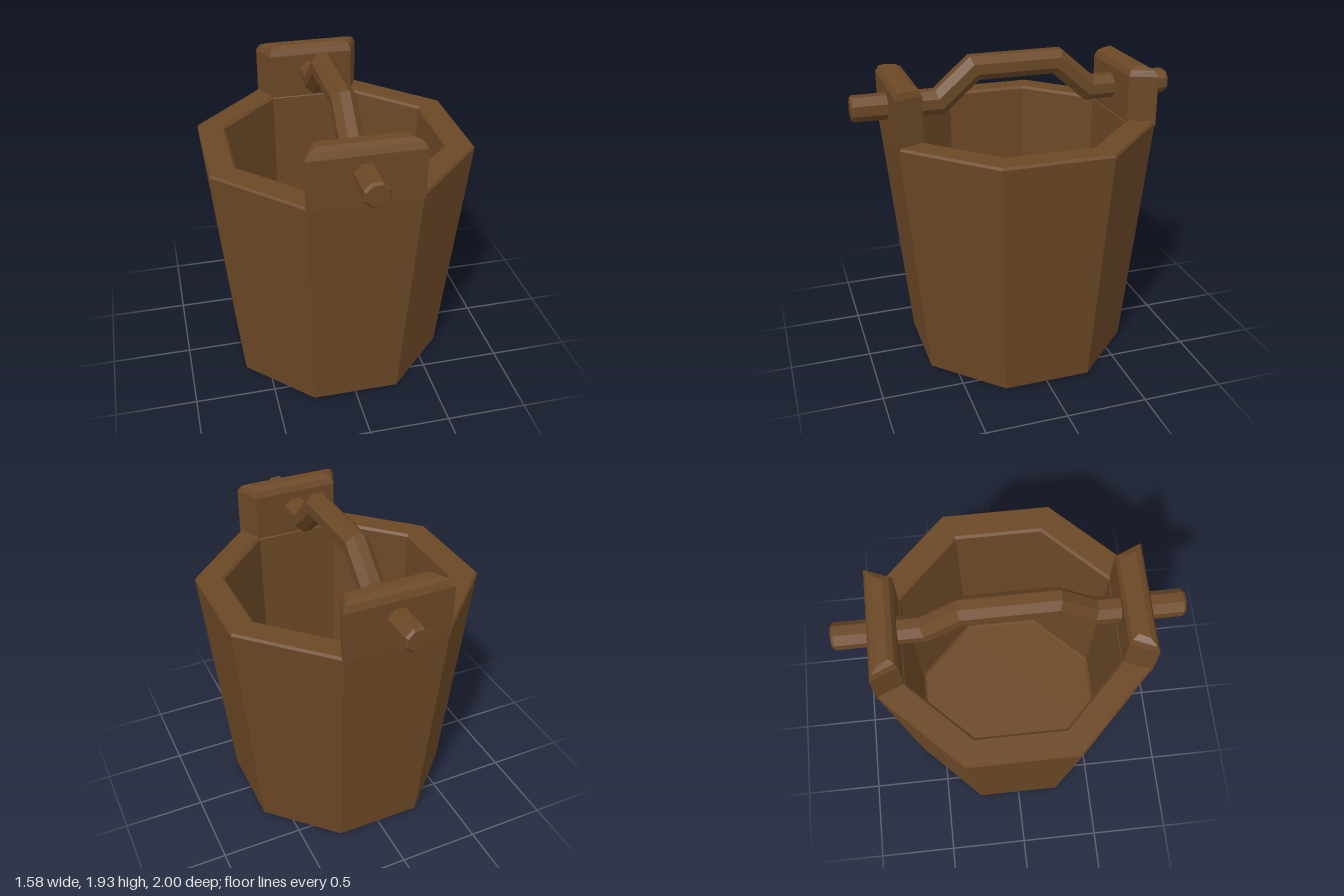
import * as THREE from 'three';

const wood = new THREE.MeshStandardMaterial({ color: 0x6b4826, flatShading: true });

// Skins a list of rings (counter-clockwise seen along the travel direction) and caps both ends.
function loft(name, rings) {
  const pos = [];
  const tri = (a, b, c) => pos.push(...a, ...b, ...c);
  const n = rings[0].length;
  for (let r = 0; r < rings.length - 1; r++) {
    const a = rings[r], b = rings[r + 1];
    for (let i = 0; i < n; i++) {
      const j = (i + 1) % n;
      tri(a[i], a[j], b[j]);
      tri(a[i], b[j], b[i]);
    }
  }
  const first = rings[0], last = rings[rings.length - 1];
  for (let i = 1; i < n - 1; i++) {
    tri(first[0], first[i + 1], first[i]);
    tri(last[0], last[i], last[i + 1]);
  }
  const geo = new THREE.BufferGeometry();
  geo.setAttribute('position', new THREE.Float32BufferAttribute(pos, 3));
  geo.computeVertexNormals();
  const mesh = new THREE.Mesh(geo, wood);
  mesh.name = name;
  return mesh;
}

// Corners of a regular octagon with the given distance to its flats.
function octagon(apothem) {
  const r = apothem / Math.cos(Math.PI / 8);
  return Array.from({ length: 8 }, (_, i) => {
    const a = (i + 0.5) * Math.PI / 4;
    return [r * Math.cos(a), r * Math.sin(a)];
  });
}

// Octagonal tub: outside upward, over the rim, inside down to the floor.
function makeBucket() {
  const profile = [
    [0.635, 0], [0.648, 0.012], [0.79, 1.505], [0.78, 1.52],
    [0.64, 1.52], [0.625, 1.505], [0.605, 0.17], [0.59, 0.15],
  ];
  return loft('bucket', profile.map(([a, y]) => octagon(a).map(([x, z]) => [x, y, -z])));
}

// Mitred upright lug with a chamfered top.
function makeLug(name) {
  // height, outer half width, inner half width, inner z, outer z
  const levels = [
    [1.49, 0.335, 0.268, 0.63, 0.79],
    [1.795, 0.335, 0.268, 0.63, 0.79],
    [1.832, 0.312, 0.258, 0.647, 0.773],
    [1.852, 0.265, 0.235, 0.68, 0.74],
  ];
  return loft(name, levels.map(([y, ho, hi, zi, zo]) =>
    [[ho, y, zo], [hi, y, zi], [-hi, y, zi], [-ho, y, zo]]));
}

// Octagonal bar along z, raised in the middle, with mitred bends.
function makeHandle() {
  const R = 0.073;
  const path = [
    [-1, 1.673, R - 0.012], [-0.985, 1.673, R], [-0.475, 1.673, R], [-0.26, 1.86, R],
    [0.26, 1.86, R], [0.475, 1.673, R], [0.985, 1.673, R], [1, 1.673, R - 0.012],
  ];
  const angle = (p, q) => Math.atan2(q[1] - p[1], q[0] - p[0]);
  return loft('handle', path.map((p, i) => {
    const before = angle(path[Math.max(i - 1, 0)], path[Math.max(i, 1)]);
    const k = Math.min(i, path.length - 2);
    const after = angle(path[k], path[k + 1]);
    const mid = (before + after) / 2;
    const stretch = 1 / Math.cos((after - before) / 2);
    return octagon(p[2]).map(([u, v]) => [
      u,
      p[1] + v * stretch * Math.cos(mid),
      p[0] - v * stretch * Math.sin(mid),
    ]);
  }));
}

export function createModel() {
  const model = new THREE.Group();
  model.name = 'woodenBucket';
  const backLug = makeLug('backLug');
  backLug.rotation.y = Math.PI;
  model.add(makeBucket(), makeLug('frontLug'), backLug, makeHandle());
  return model;
}
